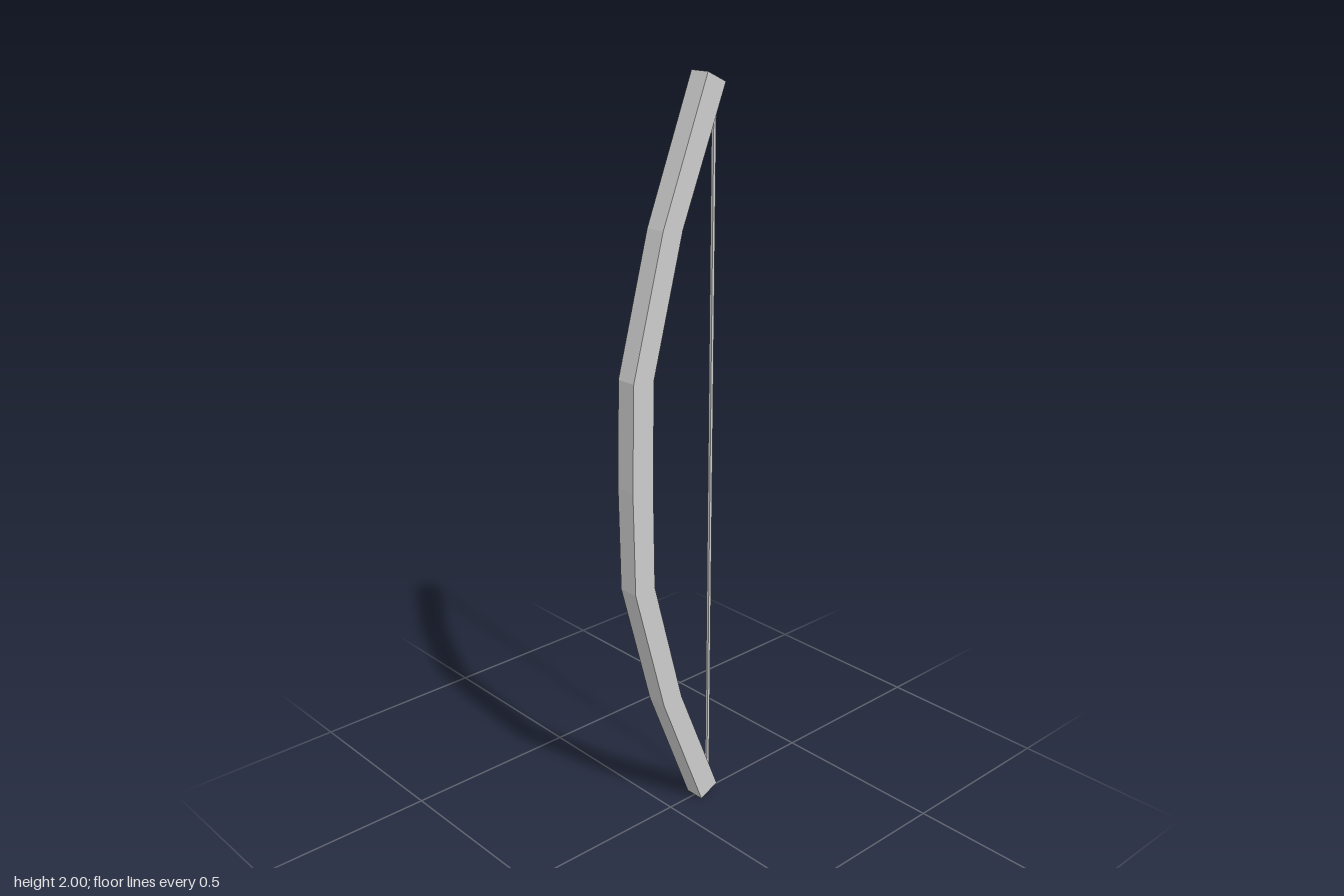
import * as THREE from 'three';

export function createModel() {
  const group = new THREE.Group();
  const material = new THREE.MeshStandardMaterial({ color: 0xcccccc, flatShading: true });
  const depth = 0.057;

  // Upper half of the bow, from the grip to the tip: outer and inner edges [x, y above the grip]
  const outer = [[-0.153, 0], [-0.147, 0.283], [-0.05, 0.642], [0.093, 1]];
  const inner = [[-0.085, 0], [-0.081, 0.28], [0.014, 0.637], [0.152, 0.973]];

  // Mirror an edge about the grip, running from bottom tip to top tip
  const fullEdge = (half) => [
    ...half.slice(1).reverse().map(([x, y]) => new THREE.Vector2(x, 1 - y)),
    ...half.map(([x, y]) => new THREE.Vector2(x, 1 + y)),
  ];

  // Curved bow stave with a rectangular section
  const outline = new THREE.Shape([...fullEdge(inner), ...fullEdge(outer).reverse()]);
  const staveGeometry = new THREE.ExtrudeGeometry(outline, { depth, bevelEnabled: false });
  staveGeometry.translate(0, 0, -depth / 2);
  const stave = new THREE.Mesh(staveGeometry, material);
  stave.name = 'bowStave';
  group.add(stave);

  // Straight string between the tips, its ends sunk into the stave
  const string = new THREE.Mesh(new THREE.BoxGeometry(0.008, 1.92, 0.008), material);
  string.name = 'bowString';
  string.position.set(0.141, 1, 0);
  group.add(string);

  return group;
}
